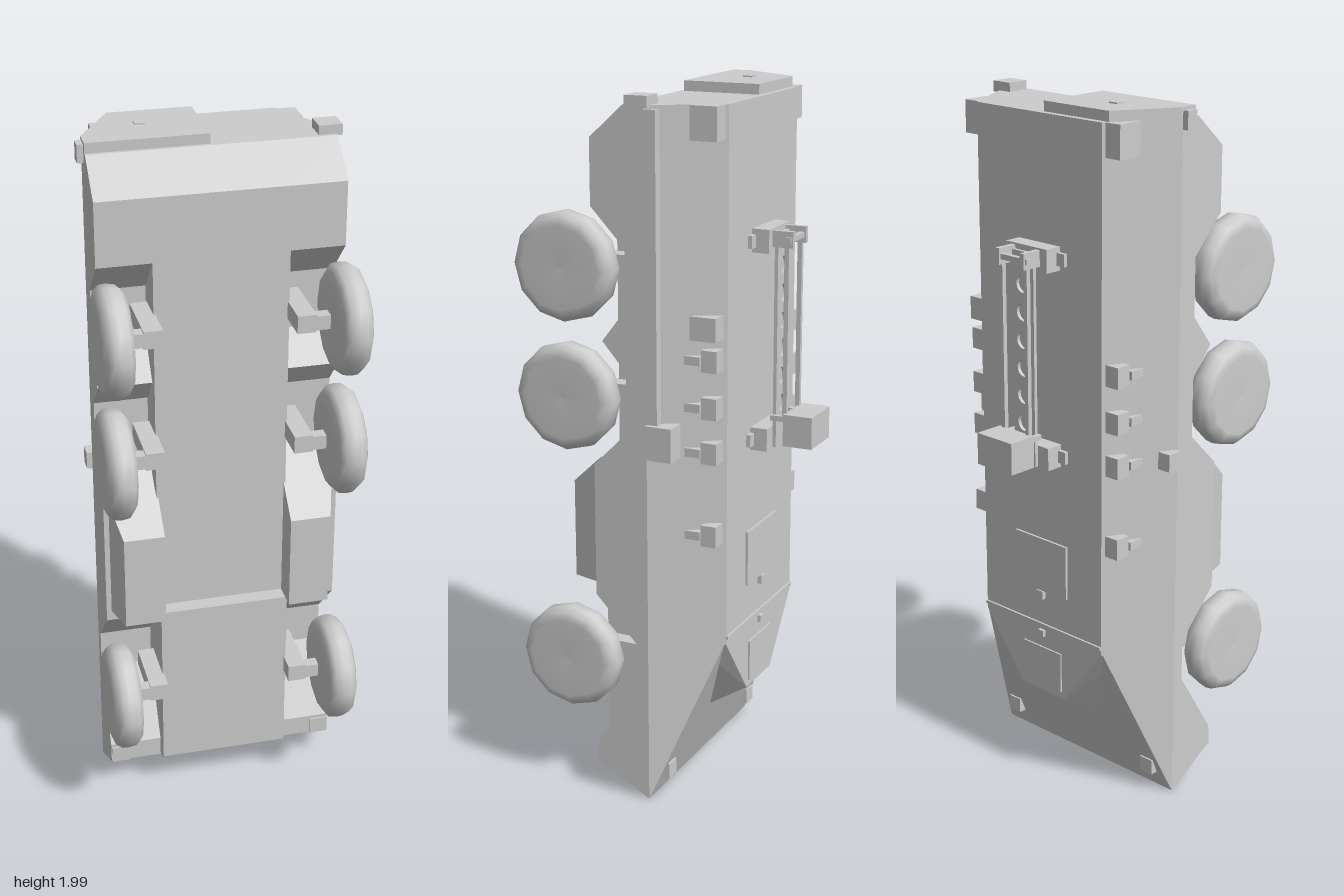
import * as THREE from 'three';
import { ConvexGeometry } from 'three/addons/geometries/ConvexGeometry.js';

export function createModel() {
  const model = new THREE.Group();
  const paint = new THREE.MeshStandardMaterial({ color: 0xcccccc });
  paint.name = 'plain grey';

  const add = (name, geometry) => {
    const mesh = new THREE.Mesh(geometry, paint);
    mesh.name = name;
    model.add(mesh);
    return mesh;
  };
  // Box given by its limits on each axis
  const box = (name, x0, x1, y0, y1, z0, z1) =>
    add(name, new THREE.BoxGeometry(x1 - x0, y1 - y0, z1 - z0)
      .translate((x0 + x1) / 2, (y0 + y1) / 2, (z0 + z1) / 2));
  // Side profile of [z, y] points, extruded from x0 to x1
  const slab = (name, profile, x0, x1) => {
    const shape = new THREE.Shape(profile.map(([z, y]) => new THREE.Vector2(z, y)));
    const g = new THREE.ExtrudeGeometry(shape, { depth: x1 - x0, bevelEnabled: false });
    return add(name, g.rotateY(-Math.PI / 2).translate(x1, 0, 0));
  };
  // Convex solid from points mirrored over x
  const mirrored = (name, pts) => add(name, new ConvexGeometry(
    pts.flatMap(([x, y, z]) => [new THREE.Vector3(x, y, z), new THREE.Vector3(-x, y, z)])));

  // Upper hull with sloping sides and nose plate
  mirrored('upperHull', [
    [0.335, 0, -0.015], [0.335, 1.96, -0.015], [0.23, 1.96, -0.205],
    [0.23, 0.48, -0.205], [0.26, 0.45, -0.15],
  ]);
  // Driver's hood rising from the nose plate
  mirrored('driverHood', [
    [0.23, 0.6, -0.205], [0.23, 0.47, -0.205], [0.26, 0.45, -0.15],
    [0.12, 0.205, -0.074], [0.085, 0.28, -0.205], [0.2, 0.6, -0.1],
  ]);
  // Belly keel
  slab('keel', [
    [-0.015, 0], [0.19, 0.115], [0.19, 0.63], [0.145, 0.63],
    [0.145, 1.87], [0.045, 1.96], [-0.015, 1.96],
  ], -0.185, 0.185);

  // Lower sides with wheel arches
  const arches = [
    [-0.015, 0], [0.145, 0.09], [0.145, 0.15], [0.02, 0.35], [0.02, 0.47],
    [0.145, 0.6], [0.145, 0.98], [0.045, 1.08], [0.045, 1.25], [0.115, 1.33],
    [0.045, 1.42], [0.045, 1.585], [0.145, 1.69], [0.145, 1.87],
    [0.045, 1.96], [-0.015, 1.96],
  ];
  slab('leftLowerSide', arches, 0.185, 0.335);
  slab('rightLowerSide', arches, -0.335, -0.185);

  // Rounded twelve-sided tyre
  const tyre = new THREE.LatheGeometry([
    [0, -0.043], [0.1, -0.043], [0.13, -0.038], [0.148, -0.024], [0.152, 0],
    [0.15, 0.018], [0.138, 0.034], [0.115, 0.043], [0, 0.038],
  ].map(([r, y]) => new THREE.Vector2(r, y)), 12).rotateZ(-Math.PI / 2);

  for (const s of [1, -1]) {
    const side = s > 0 ? 'left' : 'right';
    const sideBox = (name, a, b, ...rest) =>
      box(side + name, Math.min(s * a, s * b), Math.max(s * a, s * b), ...rest);

    // Wheels and suspension arms
    for (const y of [0.395, 1.16, 1.52]) {
      const wheel = add(side + 'Wheel', tyre);
      wheel.position.set(s * 0.313, y, 0.232);
      if (s < 0) wheel.rotation.y = Math.PI;
      sideBox('SuspensionBlock', 0.18, 0.232, y - 0.025, y + 0.025, 0.06, 0.245);
      sideBox('SuspensionArm', 0.18, 0.28, y - 0.02, y + 0.02, 0.21, 0.245);
    }
    // Bevelled box between the axles
    const corners = [
      [0.18, 0.63, 0.13], [0.325, 0.63, 0.13], [0.18, 1.0, 0.13], [0.325, 1.0, 0.13],
      [0.18, 0.63, 0.23], [0.295, 0.63, 0.23], [0.18, 0.91, 0.23], [0.295, 0.91, 0.23],
    ];
    add(side + 'SideBin', new ConvexGeometry(
      corners.map(([x, y, z]) => new THREE.Vector3(s * x, y, z))));

    // Launchers along the sloping upper side
    for (const y of [0.8, 1.035, 1.16, 1.29]) {
      sideBox('LauncherBase', 0.225, 0.28, y - 0.03, y + 0.03, -0.195, -0.15);
      sideBox('LauncherTube', 0.262, 0.288, y - 0.012, y + 0.012, -0.15, -0.105);
    }
    // Lamps at the nose, tow lugs below and lamps at the rear corners
    sideBox('Headlamp', 0.25, 0.295, 0.055, 0.1, -0.06, -0.02);
    sideBox('TowLug', 0.28, 0.333, 0.09, 0.14, 0.1, 0.15);
    sideBox('RearCornerLamp', 0.225, 0.285, 1.87, 1.96, -0.197, -0.12);
  }

  // Exhaust pipe and silencer, and other side fittings
  box('exhaustPipe', 0.3, 0.342, 1.1, 1.95, -0.05, -0.015);
  box('silencer', 0.295, 0.355, 1.02, 1.115, -0.097, -0.02);
  box('sideLocker', 0.23, 0.285, 1.345, 1.41, -0.195, -0.12);
  box('rightSideFitting', -0.35, -0.31, 1.01, 1.06, -0.065, -0.02);
  box('leftTailLamp', 0.285, 0.35, 1.955, 1.985, -0.03, 0.035);
  box('rightTailLamp', -0.352, -0.33, 1.93, 1.98, -0.015, 0.02);

  // Rear door with handle
  const doorOutline = [[-0.335, 0.035], [-0.005, 0.035], [-0.005, -0.187], [-0.237, -0.187], [-0.335, -0.02]];
  add('rearDoor', new ConvexGeometry(doorOutline.flatMap(([x, z]) =>
    [1.95, 1.988].map((y) => new THREE.Vector3(x, y, z)))));
  box('doorHandle', -0.183, -0.155, 1.98, 1.992, -0.1, -0.073);

  // Roof hatches and cross strip
  box('roofHatch', -0.1, 0.1, 0.6, 0.76, -0.212, -0.2);
  box('driverHatch', -0.075, 0.075, 0.3, 0.42, -0.21, -0.2);
  box('roofStrip', -0.23, 0.23, 0.485, 0.495, -0.211, -0.2);
  box('hatchLatch', -0.012, 0.012, 0.575, 0.6, -0.217, -0.2);
  box('hoodKnob', -0.01, 0.01, 0.455, 0.475, -0.215, -0.2);

  // Roof frame: mounts, pierced plate, rails and end box
  for (const y of [0.995, 1.55]) {
    box('frameMount', -0.078, 0.075, y, y + 0.065, -0.255, -0.2);
    box('mountFoot', -0.105, 0.102, y + 0.015, y + 0.05, -0.217, -0.2);
  }
  const plate = new THREE.Shape([[-0.04, 1.0], [0.04, 1.0], [0.04, 1.6], [-0.04, 1.6]]
    .map(([x, y]) => new THREE.Vector2(x, y)));
  for (let i = 0; i < 6; i++)
    plate.holes.push(new THREE.Path().absarc(0, 1.12 + i * 0.078, 0.024, 0, Math.PI * 2, true));
  add('piercedPlate', new THREE.ExtrudeGeometry(plate, { depth: 0.01, bevelEnabled: false, curveSegments: 12 })
    .translate(0, 0, -0.267));
  for (const x of [-0.046, 0.046]) {
    box('frameRail', x - 0.006, x + 0.006, 1.08, 1.6, -0.303, -0.29);
    box('railBracket', x - 0.007, x + 0.007, 1.565, 1.61, -0.315, -0.25);
    box('railFoot', x - 0.007, x + 0.007, 1.08, 1.095, -0.3, -0.255);
  }
  box('frameCrossBar', -0.06, 0.06, 1.58, 1.595, -0.31, -0.295);
  box('frameEndBox', -0.067, 0.065, 1.015, 1.105, -0.383, -0.298);

  return model;
}
